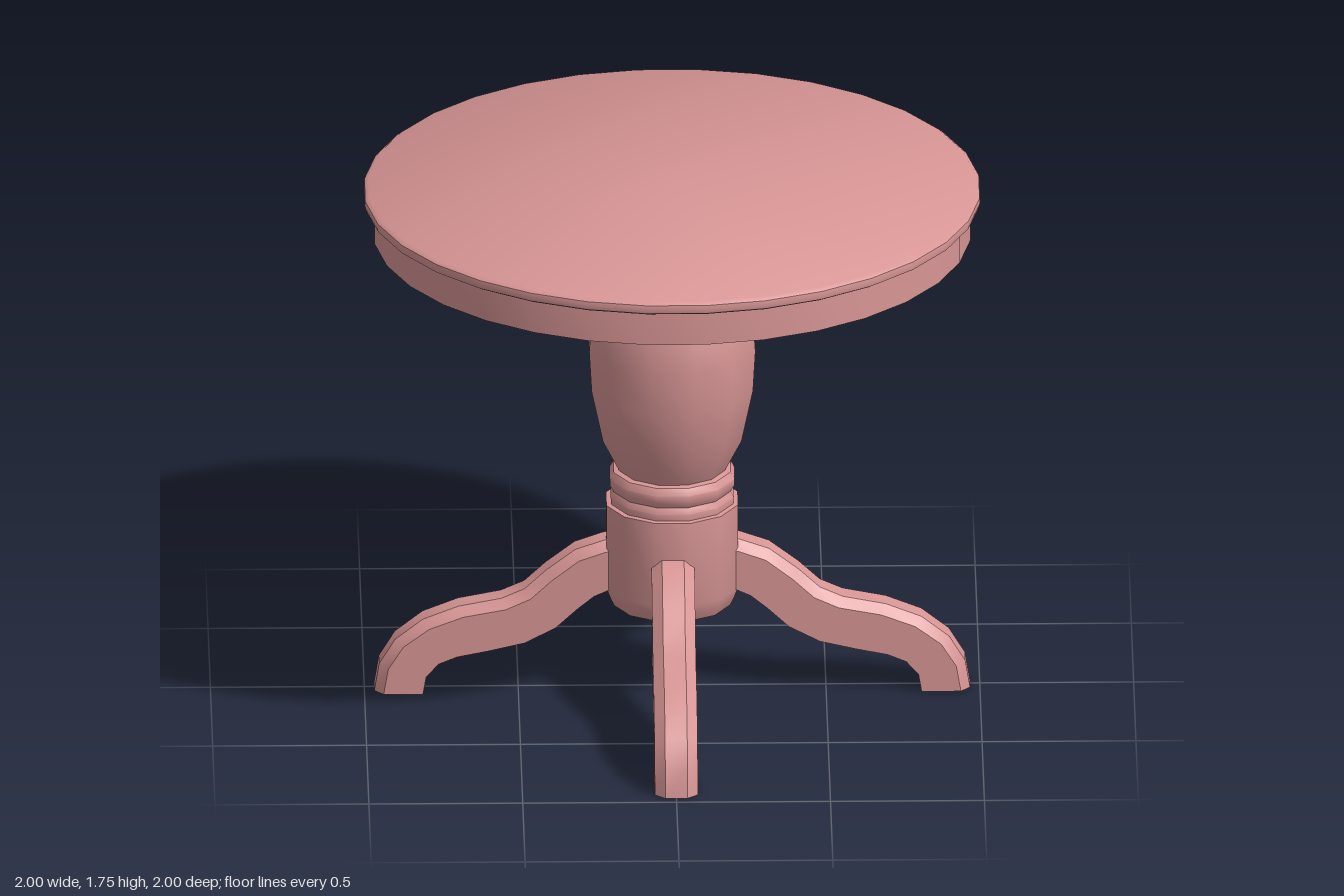
import * as THREE from 'three';
import { toCreasedNormals } from 'three/addons/utils/BufferGeometryUtils.js';

const material = new THREE.MeshStandardMaterial({ color: 0xd89595, side: THREE.DoubleSide });

// Turned part; radii are measured to the flats, and a flat faces each axis
function turned(name, profile, sides) {
  const k = 1 / Math.cos(Math.PI / sides);
  const points = profile.map(([r, y]) => new THREE.Vector2(r * k, y));
  const geometry = new THREE.LatheGeometry(points, sides, Math.PI / sides);
  const mesh = new THREE.Mesh(toCreasedNormals(geometry, 0.7), material);
  mesh.name = name;
  return mesh;
}

// Curved leg running out along +x, with chamfered upper edges
function legGeometry() {
  // upper x, y and lower x, y at each station
  const stations = [
    [0.17, 0.53, 0.17, 0.37],
    [0.22, 0.525, 0.2, 0.365],
    [0.315, 0.492, 0.255, 0.34],
    [0.41, 0.42, 0.31, 0.295],
    [0.48, 0.355, 0.38, 0.23],
    [0.555, 0.322, 0.48, 0.178],
    [0.695, 0.295, 0.6, 0.15],
    [0.81, 0.25, 0.7, 0.13],
    [0.9, 0.18, 0.76, 0.105],
    [0.952, 0.095, 0.8, 0.06],
    [0.968, 0, 0.81, 0],
  ];
  const half = 0.07, flat = 0.036, chamfer = 0.03, n = 6;
  const positions = [], index = [];
  stations.forEach(([ux, uy, lx, ly], i) => {
    const t = chamfer / Math.hypot(lx - ux, ly - uy);
    const sx = ux + (lx - ux) * t, sy = uy + (ly - uy) * t;
    positions.push(
      ux, uy, -flat, ux, uy, flat, sx, sy, half,
      lx, ly, half, lx, ly, -half, sx, sy, -half);
    if (i === 0) return;
    for (let j = 0; j < n; j++) {
      const a = (i - 1) * n + j, b = (i - 1) * n + (j + 1) % n;
      index.push(a, b, b + n, a, b + n, a + n);
    }
  });
  // end caps
  const last = (stations.length - 1) * n;
  for (let j = 1; j < n - 1; j++) {
    index.push(0, j + 1, j, last, last + j, last + j + 1);
  }
  const geometry = new THREE.BufferGeometry();
  geometry.setAttribute('position', new THREE.Float32BufferAttribute(positions, 3));
  geometry.setIndex(index);
  return toCreasedNormals(geometry, 0.6);
}

export function createModel() {
  const table = new THREE.Group();
  table.name = 'pedestalTable';

  // Round top with a softened rim, over a plain apron
  table.add(turned('tableTop', [
    [0, 1.71], [0.985, 1.71], [0.997, 1.717], [1, 1.73],
    [0.998, 1.745], [0.985, 1.755], [0, 1.755],
  ], 32));
  table.add(turned('apron', [[0, 1.595], [0.968, 1.595], [0.968, 1.71], [0, 1.71]], 32));

  // Turned column, open at the bottom
  table.add(turned('column', [
    [0.188, 0.3], [0.2, 0.325], [0.214, 0.365], [0.214, 0.655], [0.198, 0.657],
    [0.2, 0.68], [0.19, 0.7], [0.202, 0.722], [0.203, 0.745], [0.19, 0.768],
    [0.172, 0.772], [0.225, 0.88], [0.262, 1.06], [0.27, 1.2], [0.258, 1.365],
    [0.218, 1.435], [0.222, 1.47], [0.21, 1.5], [0.228, 1.535], [0.228, 1.57],
    [0.21, 1.597],
  ], 12));

  // Four legs, one along each axis
  const geometry = legGeometry();
  for (let i = 0; i < 4; i++) {
    const leg = new THREE.Mesh(geometry, material);
    leg.name = `leg${i + 1}`;
    leg.rotation.y = i * Math.PI / 2;
    table.add(leg);
  }
  return table;
}
